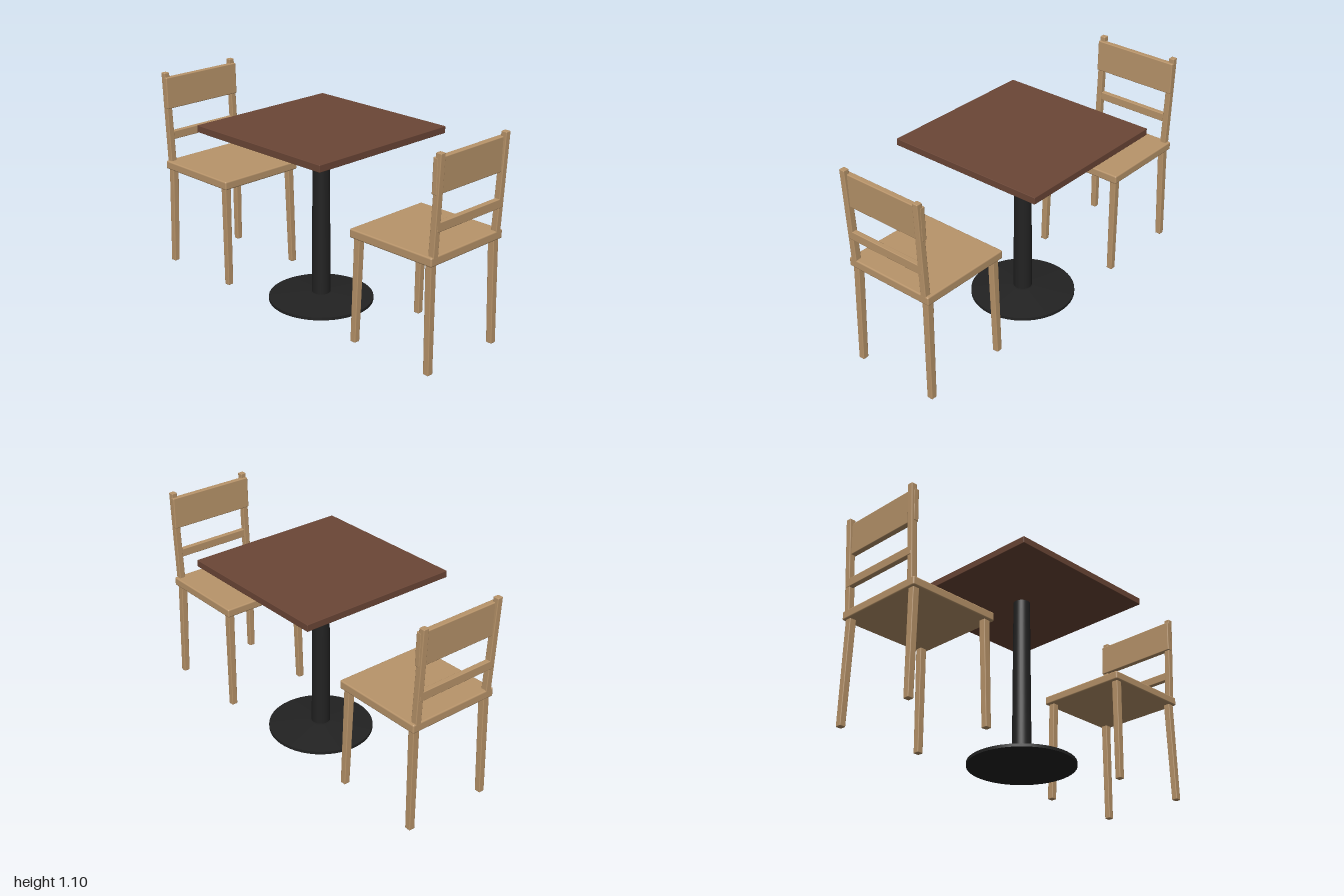
import * as THREE from 'three';
import { RoundedBoxGeometry } from 'three/addons/geometries/RoundedBoxGeometry.js';

const wood = new THREE.MeshStandardMaterial({ name: 'light wood', color: 0xb8946a });
const darkWood = new THREE.MeshStandardMaterial({ name: 'dark wood', color: 0x6b4636 });
const blackMetal = new THREE.MeshStandardMaterial({ name: 'black metal', color: 0x222222 });

function addMesh(parent, name, geometry, material) {
  const mesh = new THREE.Mesh(geometry, material);
  mesh.name = name;
  parent.add(mesh);
  return mesh;
}

// Softly rounded board given by its centre and size
function addBoard(parent, name, material, [w, h, d], [x, y, z], radius) {
  const mesh = addMesh(parent, name, new RoundedBoxGeometry(w, h, d, 2, radius), material);
  mesh.position.set(x, y, z);
  return mesh;
}

// Square bar that leans and tapers from a bottom point to a top point
function leaningBar(bottom, top, bottomWidth, topWidth) {
  const height = top[1] - bottom[1];
  const geometry = new RoundedBoxGeometry(1, height, 1, 2, 0.004);
  const p = geometry.attributes.position;
  const half = 0.5;
  // Restore the small edge radius after scaling the unit cross-section
  const shrink = (v, width) => {
    const r = 0.004;
    const inset = half - Math.abs(v);
    return Math.sign(v) * (width / 2 - Math.min(inset, r));
  };
  for (let i = 0; i < p.count; i++) {
    const t = p.getY(i) / height + 0.5;
    const width = THREE.MathUtils.lerp(bottomWidth, topWidth, t);
    p.setXYZ(
      i,
      shrink(p.getX(i), width) + THREE.MathUtils.lerp(bottom[0], top[0], t),
      THREE.MathUtils.lerp(bottom[1], top[1], t),
      shrink(p.getZ(i), width) + THREE.MathUtils.lerp(bottom[2], top[2], t)
    );
  }
  return geometry;
}

// Chair whose back is on the +z side
function createChair(name) {
  const chair = new THREE.Group();
  chair.name = name;
  addBoard(chair, 'seat', wood, [0.52, 0.047, 0.516], [0, 0.578, 0.717], 0.008);

  for (const side of [-1, 1]) {
    const label = side > 0 ? 'Left' : 'Right';
    const x = side * 0.237, xTop = side * 0.228;
    addMesh(chair, 'frontLeg' + label,
      leaningBar([x, 0, 0.481], [xTop, 0.57, 0.495], 0.033, 0.037), wood);
    addMesh(chair, 'rearLeg' + label,
      leaningBar([x, 0, 0.957], [xTop, 0.57, 0.945], 0.033, 0.037), wood);
    addMesh(chair, 'backPost' + label,
      leaningBar([xTop, 0.58, 0.957], [side * 0.231, 1.1, 0.984], 0.034, 0.032), wood);
  }

  // Backrest panel and lower rail
  const panel = addBoard(chair, 'backrestPanel', wood, [0.496, 0.176, 0.03], [0, 0.988, 0.967], 0.005);
  panel.rotation.x = 0.02;
  addBoard(chair, 'backRail', wood, [0.472, 0.047, 0.028], [0, 0.743, 0.969], 0.004);
  return chair;
}

function createTable() {
  const table = new THREE.Group();
  table.name = 'table';
  addBoard(table, 'tableTop', darkWood, [0.893, 0.037, 0.893], [0, 0.942, 0], 0.003);

  const column = addMesh(table, 'column', new THREE.CylinderGeometry(0.044, 0.05, 0.9, 32), blackMetal);
  column.position.y = 0.478;

  // Flat disc with a shallow cone above it
  const disc = addMesh(table, 'baseDisc', new THREE.CylinderGeometry(0.28, 0.28, 0.016, 48), blackMetal);
  disc.position.y = 0.008;
  const cone = addMesh(table, 'baseCone', new THREE.CylinderGeometry(0.06, 0.28, 0.024, 48, 1), blackMetal);
  cone.position.y = 0.028;
  return table;
}

export function createModel() {
  const model = new THREE.Group();
  model.name = 'tableWithTwoChairs';
  const rearChair = createChair('rearChair');
  rearChair.rotation.y = Math.PI;
  model.add(createTable(), createChair('frontChair'), rearChair);
  return model;
}
